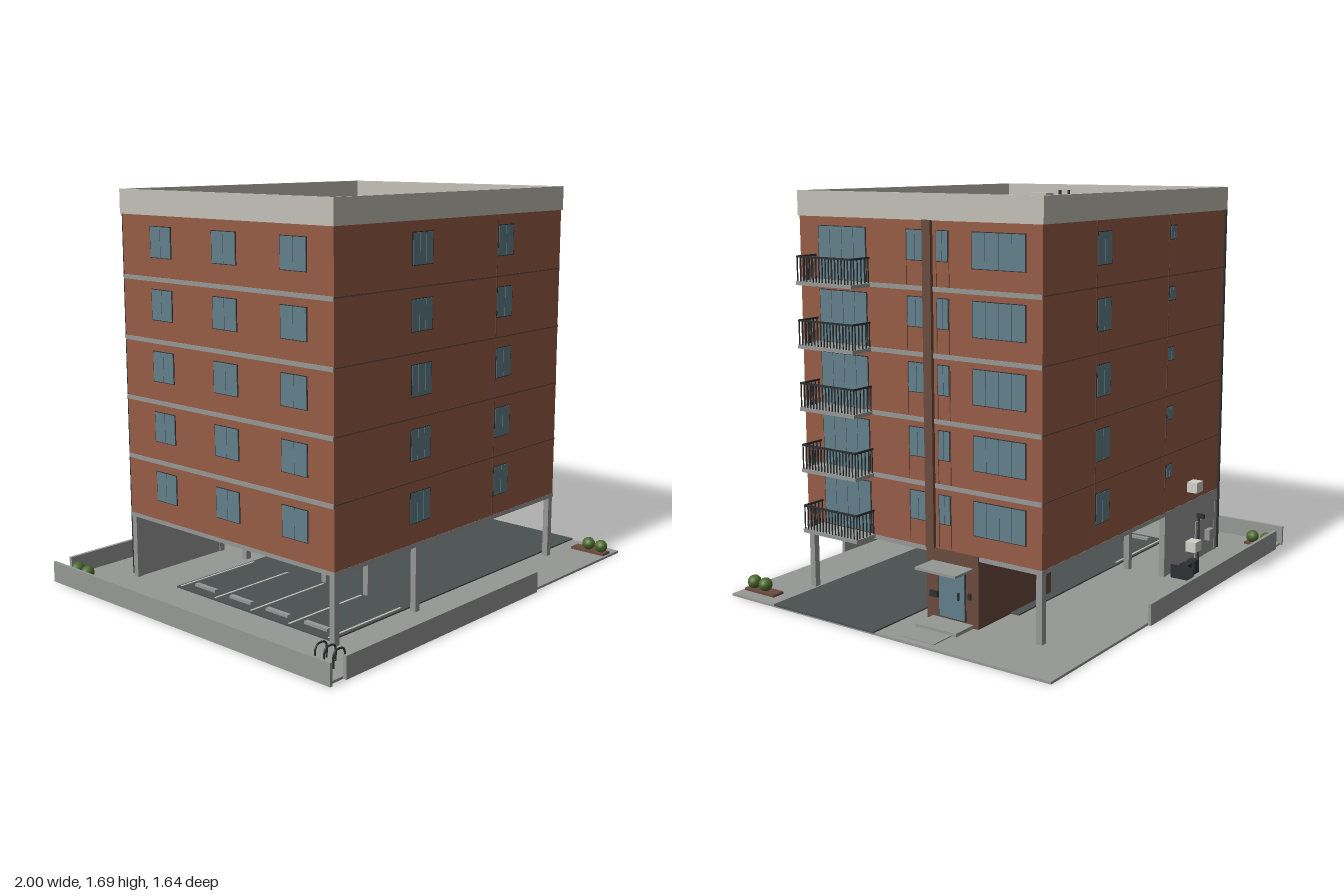
import * as THREE from 'three';

const mat = (name, color, extra = {}) =>
  Object.assign(new THREE.MeshStandardMaterial({ color, ...extra }), { name });

export function createModel() {
  const M = {
    brick: mat('brick', 0x965c46),
    brown: mat('dark brown cladding', 0x6a4a3d),
    concrete: mat('concrete', 0x969896),
    parapet: mat('pale parapet', 0xc2c0b7),
    asphalt: mat('asphalt and roofing', 0x4b5051),
    glass: mat('glass', 0x627f8a),
    metal: mat('dark metal', 0x2c3032),
    white: mat('white equipment', 0xd2d0c8),
    leaf: mat('leaves', 0x4b6a2c),
  };
  const model = new THREE.Group();
  model.name = 'apartmentBuilding';

  // Box given by its extents on each axis
  const box = (name, m, x0, x1, y0, y1, z0, z1, parent = model) => {
    const mesh = new THREE.Mesh(new THREE.BoxGeometry(x1 - x0, y1 - y0, z1 - z0), m);
    mesh.position.set((x0 + x1) / 2, (y0 + y1) / 2, (z0 + z1) / 2);
    mesh.name = name;
    parent.add(mesh);
    return mesh;
  };
  const group = (name, parent = model) => {
    const g = new THREE.Group();
    g.name = name;
    parent.add(g);
    return g;
  };

  const X0 = -0.74, X1 = 0.73, Z = 0.597, STEP = 0.257, FLOORS = 5;

  // Site: slab, boundary walls, driveway and parking
  const site = group('site');
  box('groundSlab', M.concrete, -1, 0.99, 0, 0.01, -0.81, 0.8, site);
  box('leftBoundaryWall', M.concrete, -1, -0.988, 0, 0.09, -0.82, 0.815, site);
  box('frontBoundaryWall', M.concrete, -0.915, 0.295, 0, 0.09, 0.8, 0.815, site);
  box('backBoundaryWall', M.concrete, -0.915, 0.295, 0, 0.09, -0.823, -0.808, site);
  box('driveway', M.asphalt, -0.71, 0.995, 0.008, 0.016, 0.01, 0.55, site);
  box('parkingArea', M.asphalt, -0.71, 0.52, 0.008, 0.016, -0.345, 0.01, site);
  for (let i = 0; i < 5; i++) {
    const z = 0.53 - i * 0.215;
    box('stallLine', M.parapet, -0.7, -0.27, 0.015, 0.018, z - 0.005, z + 0.005, site);
    if (i < 4) box('wheelStop', M.concrete, -0.66, -0.64, 0.015, 0.028, z - 0.17, z - 0.045, site);
  }
  box('entrancePath', M.concrete, 0.73, 0.96, 0.008, 0.014, -0.26, -0.1, site);
  box('entranceStep', M.concrete, 0.73, 0.85, 0.008, 0.024, -0.28, -0.08, site);

  // Planters with shrubs
  for (const [px, z0, z1, shrubs] of [
    [0.9, 0.62, 0.79, [0.695, 0.76]],
    [-0.907, -0.8, -0.675, [-0.705, -0.775]],
  ]) {
    const g = group('planter');
    box('planterBed', M.brown, px - 0.03, px + 0.03, 0.005, 0.02, z0, z1, g);
    for (const z of shrubs) {
      const shrub = new THREE.Mesh(new THREE.IcosahedronGeometry(0.03, 1), M.leaf);
      shrub.position.set(px, 0.045, z);
      shrub.name = 'shrub';
      g.add(shrub);
    }
  }

  // Bicycle hoops
  for (const z of [0.64, 0.685, 0.73]) {
    const path = new THREE.CatmullRomCurve3([
      [-0.89, 0.01], [-0.89, 0.06], [-0.88, 0.075], [-0.84, 0.075], [-0.83, 0.06], [-0.83, 0.01],
    ].map(([x, y]) => new THREE.Vector3(x, y, z)));
    const hoop = new THREE.Mesh(new THREE.TubeGeometry(path, 20, 0.004, 6), M.metal);
    hoop.name = 'bicycleHoop';
    model.add(hoop);
  }

  // Open ground floor: columns, back wall and lobby
  const ground = group('groundFloor');
  for (const [x, z] of [
    [-0.725, 0.583], [-0.725, -0.583], [0.715, 0.583], [0.715, -0.583],
    [-0.243, 0.583], [-0.243, 0.327], [-0.243, 0.088], [-0.243, -0.405], [-0.243, -0.583],
  ]) box('column', M.concrete, x - 0.0135, x + 0.0135, 0.01, 0.29, z - 0.0135, z + 0.0135, ground);
  box('backWall', M.concrete, -0.72, -0.24, 0.01, 0.29, -0.595, -0.575, ground);
  box('lobby', M.brown, 0.225, 0.737, 0.01, 0.305, -0.305, -0.05, ground);
  box('lobbyDoorFrame', M.metal, 0.735, 0.739, 0.028, 0.244, -0.245, -0.11, ground);
  box('lobbyDoor', M.glass, 0.737, 0.743, 0.032, 0.24, -0.24, -0.115, ground);
  box('doorHandle', M.metal, 0.743, 0.752, 0.115, 0.145, -0.218, -0.211, ground);
  box('mailbox', M.metal, 0.737, 0.748, 0.105, 0.13, -0.108, -0.07, ground);
  box('entryPanel', M.metal, 0.737, 0.745, 0.125, 0.15, -0.272, -0.258, ground);
  box('entranceCanopy', M.concrete, 0.73, 0.85, 0.244, 0.254, -0.28, -0.08, ground);

  // Brick tower with slabs and floor bands
  box('soffitSlab', M.concrete, X0, X1 + 0.003, 0.285, 0.303, -Z - 0.001, Z + 0.001);
  box('brickBody', M.brick, X0, X1, 0.303, 1.59, -Z, Z);
  for (let i = 1; i < FLOORS; i++) {
    const y = 0.3 + STEP * i;
    box('floorBand', M.concrete, X0 - 0.004, X1 + 0.004, y - 0.009, y + 0.009, -Z + 0.001, Z - 0.001);
    box('floorJoint', M.brown, X0, X1, y + 0.001, y + 0.007, -Z - 0.002, Z + 0.002);
  }
  box('pilaster', M.brown, 0.72, 0.745, 0.303, 1.59, -0.093, -0.052);
  box('frontJoint', M.brown, 0.256, 0.26, 0.303, 1.59, 0.59, Z + 0.002);
  box('backJoint', M.brown, 0.357, 0.361, 0.303, 1.59, -Z - 0.002, -0.59);
  box('backJoint', M.brown, -0.22, -0.216, 0.303, 1.59, -Z - 0.002, -0.59);

  // Framed window built facing +z, then turned onto its wall
  const window = (w, h, panes, frame = M.metal) => {
    const g = group('window');
    box('windowFrame', frame, -w / 2, w / 2, -h / 2, h / 2, -0.002, 0.002, g);
    const pw = (w - 0.006) / panes;
    for (let i = 0; i < panes; i++) {
      const x = -w / 2 + 0.003 + i * pw;
      box('pane', M.glass, x + 0.001, x + pw - 0.001, -h / 2 + 0.003, h / 2 - 0.003, 0, 0.004, g);
    }
    return g;
  };
  // side: [turn, position from the coordinate along the wall]
  const SIDES = {
    front: [0, (u) => [u, Z]],
    back: [Math.PI, (u) => [u, -Z]],
    right: [Math.PI / 2, (u) => [X1, u]],
    left: [-Math.PI / 2, (u) => [X0, u]],
  };
  // side, start, end, bottom, top (lowest storey), panes
  const WINDOWS = [
    ['front', -0.3, -0.172, 0.387, 0.517, 3], ['front', 0.26, 0.37, 0.387, 0.517, 2],
    ['back', 0.25, 0.357, 0.387, 0.517, 2], ['back', -0.28, -0.222, 0.455, 0.515, 2],
    ['left', -0.42, -0.29, 0.387, 0.517, 2], ['left', -0.05, 0.09, 0.387, 0.517, 2],
    ['left', 0.325, 0.465, 0.387, 0.517, 2],
    ['right', -0.525, -0.28, 0.385, 0.525, 4], ['right', -0.17, -0.11, 0.405, 0.525, 2],
    ['right', -0.05, 0.035, 0.405, 0.525, 2], ['right', 0.24, 0.495, 0.307, 0.525, 4],
  ];
  for (let f = 0; f < FLOORS; f++) {
    const dy = f * STEP;
    for (const [side, a, b, y0, y1, panes] of WINDOWS) {
      const w = window(b - a, y1 - y0, panes);
      const [turn, place] = SIDES[side];
      const [x, z] = place((a + b) / 2);
      w.position.set(x, (y0 + y1) / 2 + dy, z);
      w.rotation.y = turn;
    }
    // Recess edges beside the narrow windows
    for (const z of [0.036, -0.111, -0.171])
      box('recessJoint', M.brown, 0.72, X1 + 0.002, 0.31 + dy, 0.525 + dy, z - 0.0015, z + 0.0015);

    // Balcony with a barred railing
    const g = group('balcony');
    g.position.y = dy;
    const bx = 0.84, za = 0.225, zb = 0.515, top = 0.408;
    box('balconySlab', M.concrete, X1, bx + 0.003, 0.29, 0.305, za - 0.003, zb + 0.003, g);
    box('frontRail', M.metal, bx - 0.006, bx, top - 0.008, top, za, zb, g);
    for (const z of [za, zb - 0.006]) box('sideRail', M.metal, X1, bx, top - 0.008, top, z, z + 0.006, g);
    for (let i = 0; i <= 17; i++) {
      const z = za + (i / 17) * (zb - za - 0.004);
      box('railBar', M.metal, bx - 0.005, bx - 0.001, 0.305, top, z, z + 0.004, g);
    }
    for (let i = 0; i < 5; i++) {
      const x = X1 + 0.004 + i * 0.021;
      for (const z of [za + 0.001, zb - 0.005])
        box('railBar', M.metal, x, x + 0.004, 0.305, top, z, z + 0.004, g);
    }
  }

  // Roof, parapet ring and rooftop equipment
  const roof = group('roof');
  const px0 = -0.748, px1 = 0.735, pz = 0.603, t = 0.014;
  box('roofDeck', M.asphalt, X0, X1, 1.588, 1.597, -Z, Z, roof);
  for (const s of [-1, 1]) {
    const z = s * (pz - t / 2);
    box('parapetLong', M.parapet, px0, px1, 1.588, 1.69, z - t / 2, z + t / 2, roof);
  }
  for (const x of [px0, px1 - t]) box('parapetShort', M.parapet, x, x + t, 1.588, 1.69, -pz + t, pz - t, roof);
  box('roofHatch', M.asphalt, -0.69, -0.6, 1.595, 1.62, 0.45, 0.55, roof);
  box('roofUnit', M.parapet, -0.675, -0.61, 1.597, 1.65, 0.285, 0.38, roof);
  for (const z of [0.17, 0.22]) box('ventPipe', M.metal, -0.647, -0.637, 1.597, 1.665, z, z + 0.01, roof);

  // Services on the back of the building
  const services = group('backServices');
  const pipe = new THREE.Mesh(new THREE.CylinderGeometry(0.006, 0.006, 1.57, 8), M.metal);
  pipe.position.set(-0.73, 0.805, -0.605);
  pipe.name = 'downpipe';
  services.add(pipe);
  for (const y of [0.35, 0.075])
    box('airConditioner', M.white, -0.49, -0.43, y, y + 0.047, -0.645, -0.595, services);
  box('meterBox', M.concrete, -0.665, -0.62, 0.08, 0.13, -0.62, -0.59, services);
  box('serviceDoor', M.concrete, -0.6, -0.52, 0.012, 0.19, -0.6, -0.59, services);
  box('wallLamp', M.metal, -0.55, -0.535, 0.205, 0.225, -0.63, -0.59, services);
  box('servicePipe', M.metal, -0.545, -0.539, 0.012, 0.205, -0.606, -0.597, services);
  for (const x of [-0.38, -0.315]) box('wasteBin', M.metal, x, x + 0.043, 0.01, 0.07, -0.69, -0.65, services);
  box('binScreen', M.metal, -0.252, -0.246, 0.01, 0.07, -0.73, -0.62, services);

  return model;
}
